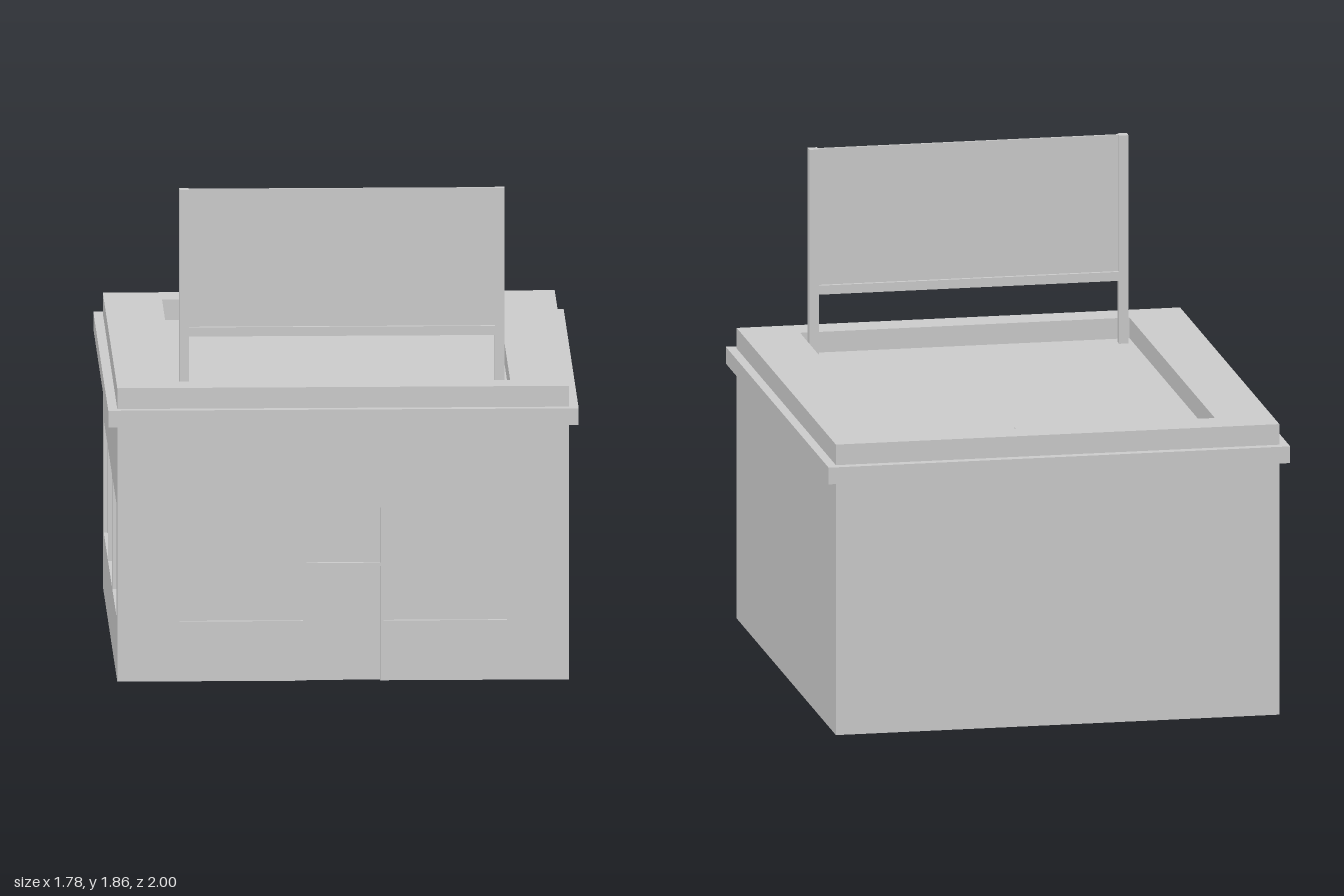
import * as THREE from 'three';

const material = new THREE.MeshStandardMaterial({ color: 0xcccccc, flatShading: true });

// Closed outline from corner points
function outline(points, Type = THREE.Shape) {
  return new Type(points.map(([x, y]) => new THREE.Vector2(x, y)));
}

function rectHole(x0, x1, y0, y1) {
  return outline([[x0, y0], [x0, y1], [x1, y1], [x1, y0]], THREE.Path);
}

function extrude(shape, depth) {
  return new THREE.ExtrudeGeometry(shape, { depth, bevelEnabled: false });
}

export function createModel() {
  const model = new THREE.Group();
  model.name = 'shop';

  const add = (name, geometry, x = 0, y = 0, z = 0) => {
    const mesh = new THREE.Mesh(geometry, material);
    mesh.name = name;
    mesh.position.set(x, y, z);
    model.add(mesh);
    return mesh;
  };
  // Box given by its extents along each axis
  const addBox = (name, x0, x1, y0, y1, z0, z1) =>
    add(name, new THREE.BoxGeometry(x1 - x0, y1 - y0, z1 - z0),
      (x0 + x1) / 2, (y0 + y1) / 2, (z0 + z1) / 2);

  const W = 0.855, L = 0.965, H = 0.985; // half width, half length, wall height
  const recess = 0.015;                  // depth of windows and door
  const sill = 0.23, head = 0.665;       // window heights

  // Solid core; its faces form the window panes and the door leaf
  addBox('buildingCore', -W + recess, W, 0, H, -L, L - recess);

  // Front wall with door notch, transom and two shop windows
  const front = outline([
    [-W, 0], [-0.14, 0], [-0.14, 0.44], [0.14, 0.44], [0.14, 0], [W, 0], [W, H], [-W, H],
  ]);
  front.holes.push(
    rectHole(-0.14, 0.14, 0.453, head),
    rectHole(-0.62, -0.152, sill, head),
    rectHole(0.152, 0.62, sill, head),
  );
  add('frontWall', extrude(front, recess), 0, 0, L - recess);

  // Right wall with a row of three windows
  const side = outline([[-L, 0], [L - recess, 0], [L - recess, H], [-L, H]]);
  for (const z of [-0.57, 0, 0.57]) {
    side.holes.push(rectHole(z - 0.265, z + 0.265, sill, head));
  }
  add('rightWall', extrude(side, recess).rotateY(-Math.PI / 2), -W + recess);

  // Cornice slab; its top is also the sunken roof floor
  addBox('cornice', -0.89, 0.89, H, 1.05, -1, 1);

  // Parapet ring with a small drain groove at the back
  const parapet = outline([[-W, -L], [W, -L], [W, L], [-W, L]]);
  parapet.holes.push(outline([
    [-0.635, -0.84], [-0.635, 0.82], [0.137, 0.82], [0.137, 0.84],
    [0.153, 0.84], [0.153, 0.82], [0.635, 0.82], [0.635, -0.84],
  ], THREE.Path));
  add('parapet', extrude(parapet, 0.08).rotateX(-Math.PI / 2), 0, 1.05);

  // Billboard: two posts, bottom rail and thin panel
  for (const s of [-1, 1]) {
    const x = s * 0.597;
    addBox('signPost', x - 0.018, x + 0.018, 1.05, 1.86, 0.757, 0.795);
  }
  addBox('signRail', -0.579, 0.579, 1.295, 1.33, 0.757, 0.795);
  addBox('signPanel', -0.579, 0.579, 1.33, 1.86, 0.771, 0.781);

  return model;
}
